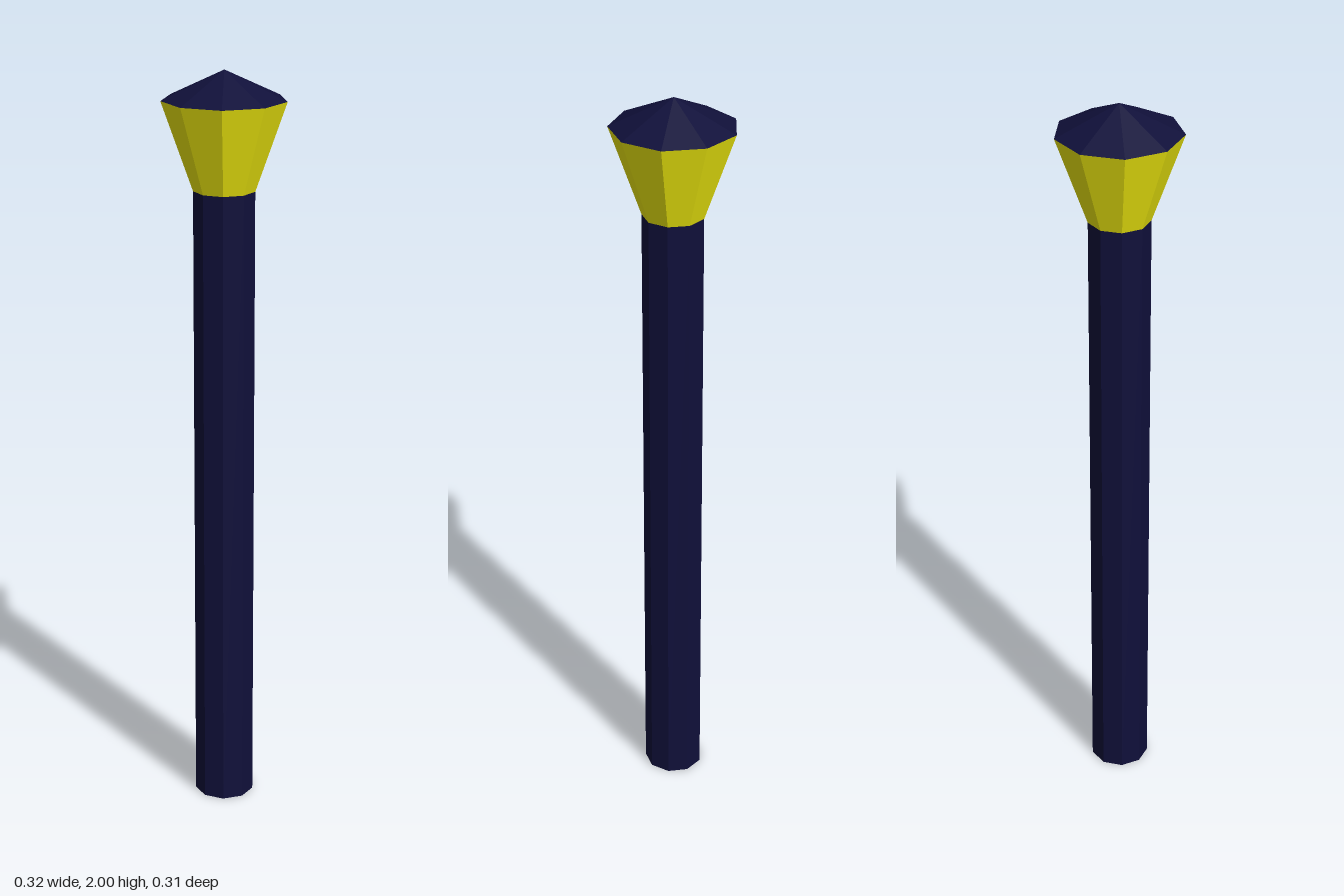
import * as THREE from 'three';

const SIDES = 9;

export function createModel() {
  const model = new THREE.Group();
  model.name = 'lampPost';

  const navy = new THREE.MeshStandardMaterial({ color: 0x10103a, flatShading: true });
  const yellow = new THREE.MeshStandardMaterial({ color: 0xf5f00f, flatShading: true });

  // One nine-sided section between two heights, with a corner facing the front
  const section = (name, topRadius, bottomRadius, y0, y1, material) => {
    const geometry = new THREE.CylinderGeometry(topRadius, bottomRadius, y1 - y0, SIDES);
    const mesh = new THREE.Mesh(geometry, material);
    mesh.name = name;
    // The odd-sided outline reaches further forward than back, so shift it to centre
    mesh.position.set(0, (y0 + y1) / 2, -0.005);
    model.add(mesh);
  };

  section('post', 0.08, 0.08, 0, 1.695, navy);
  section('lantern', 0.161, 0.08, 1.695, 1.925, yellow);
  section('roof', 0, 0.161, 1.925, 2, navy);

  return model;
}
